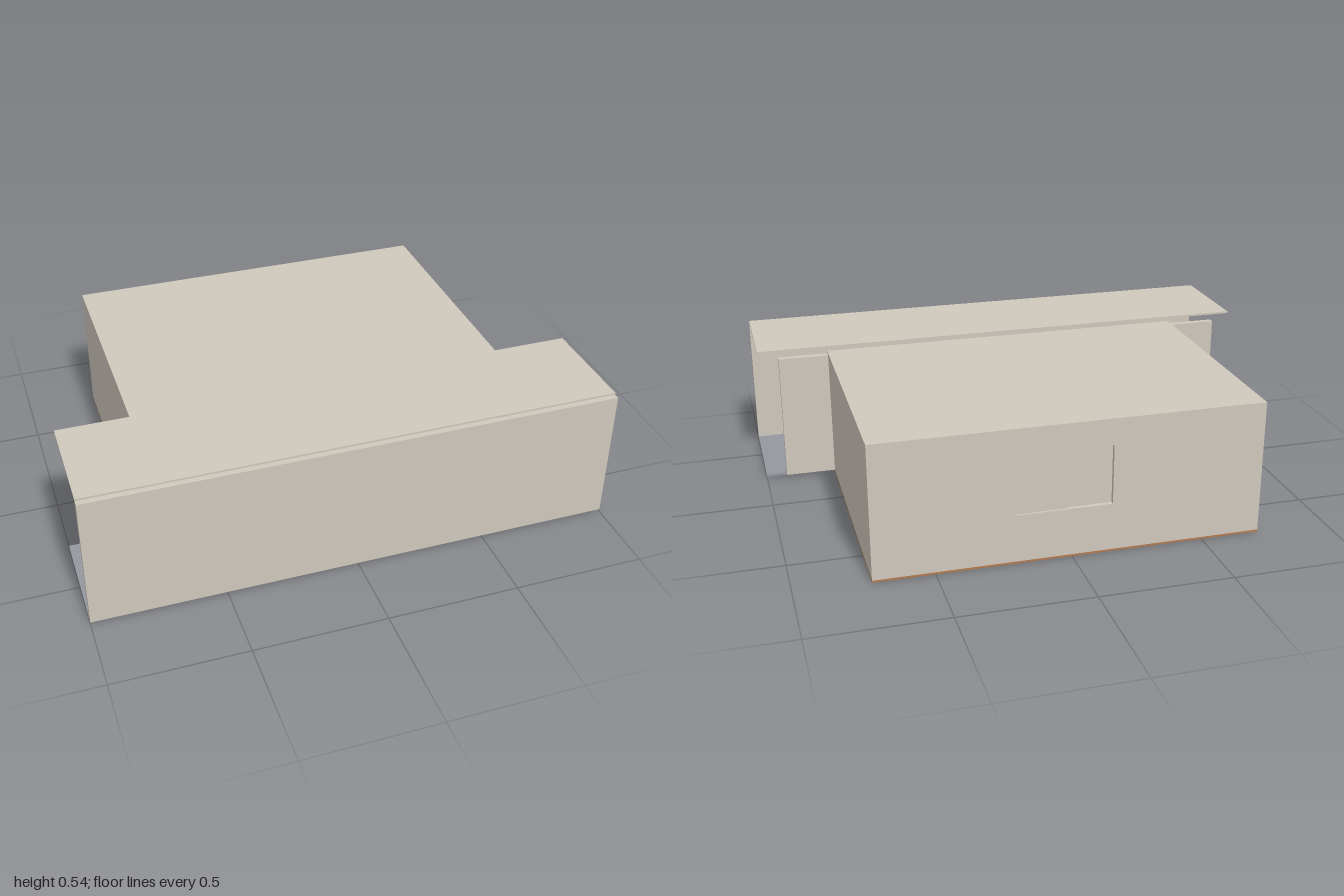
import * as THREE from 'three';

const paint = (name, color) => {
  const m = new THREE.MeshStandardMaterial({ color });
  m.name = name;
  return m;
};

export function createModel() {
  const wall = paint('wall plaster', 0xd0c8bc);
  const wood = paint('wood floor', 0xb47a50);
  const stone = paint('corridor floor grey', 0x94979f);
  const doorWood = paint('door wood', 0x96602f);
  const frameWood = paint('door frame wood', 0x7a4a26);
  const metal = paint('metal', 0x9a9a9a);

  const model = new THREE.Group();
  model.name = 'roomWithCorridor';

  // Box from its lower and upper limits on each axis
  const box = (parent, name, mat, [x0, x1], [y0, y1], [z0, z1]) => {
    const mesh = new THREE.Mesh(new THREE.BoxGeometry(x1 - x0, y1 - y0, z1 - z0), mat);
    mesh.position.set((x0 + x1) / 2, (y0 + y1) / 2, (z0 + z1) / 2);
    mesh.name = name;
    parent.add(mesh);
    return mesh;
  };

  // Corridor: floor, outer wall and raised ceiling, open at both ends
  const corridor = new THREE.Group();
  corridor.name = 'corridor';
  model.add(corridor);
  box(corridor, 'corridorFloor', stone, [-1, 1], [0, 0.01], [0.27, 0.68]);
  box(corridor, 'corridorOuterWall', wall, [-1, 1], [0.01, 0.532], [0.68, 0.702]);
  box(corridor, 'corridorCeiling', wall, [-1, 1], [0.532, 0.54], [0.27, 0.68]);

  // Room shell
  const room = new THREE.Group();
  room.name = 'room';
  model.add(room);
  const W = 0.725, back = -0.702, T = 0.025;
  box(room, 'roomFloor', wood, [-W, W], [0, 0.008], [back, 0.27]);
  box(room, 'roomCeiling', wall, [-W, W], [0.51, 0.52], [back, 0.27]);
  box(room, 'dividingWall', wall, [-0.92, 0.92], [0.01, 0.51], [0.245, 0.27]);
  for (const s of [-1, 1]) {
    const xs = s < 0 ? [-W, -W + T] : [W - T, W];
    box(room, 'sideWall', wall, xs, [0.008, 0.51], [back, 0.245]);
  }

  // Back wall with a window opening
  const win = { x0: -0.15, x1: 0.21, mid: 0.018, y0: 0.19, y1: 0.42 };
  const shape = new THREE.Shape();
  shape.moveTo(-W + T, 0.008).lineTo(W - T, 0.008).lineTo(W - T, 0.51).lineTo(-W + T, 0.51).closePath();
  const hole = new THREE.Path();
  hole.moveTo(win.x0, win.y0).lineTo(win.x0, win.y1).lineTo(win.x1, win.y1).lineTo(win.x1, win.y0).closePath();
  shape.holes.push(hole);
  const backWall = new THREE.Mesh(
    new THREE.ExtrudeGeometry(shape, { depth: T, bevelEnabled: false }), wall);
  backWall.position.z = back;
  backWall.name = 'backWall';
  room.add(backWall);

  // Two sliding panes, one set behind the other
  box(room, 'slidingPaneOuter', wall, [win.mid, win.x1], [win.y0, win.y1], [back + 0.008, back + 0.016]);
  box(room, 'slidingPaneInner', wall, [win.x0, win.mid + 0.01], [win.y0, win.y1], [back + 0.016, back + 0.024]);

  // Door on the corridor side of the dividing wall
  const door = new THREE.Group();
  door.name = 'door';
  model.add(door);
  box(door, 'doorLeaf', doorWood, [-0.1, 0.1], [0.01, 0.42], [0.27, 0.278]);
  for (const s of [-1, 1]) {
    const xs = s < 0 ? [-0.115, -0.1] : [0.1, 0.115];
    box(door, 'doorFrameSide', frameWood, xs, [0.01, 0.425], [0.27, 0.275]);
  }
  box(door, 'doorFrameTop', frameWood, [-0.115, 0.115], [0.425, 0.442], [0.27, 0.275]);
  box(door, 'doorCloser', metal, [-0.09, -0.02], [0.407, 0.418], [0.278, 0.288]);
  const knob = new THREE.Mesh(new THREE.CylinderGeometry(0.006, 0.006, 0.01, 16), metal);
  knob.rotation.x = Math.PI / 2;
  knob.position.set(0.082, 0.212, 0.283);
  knob.name = 'doorKnob';
  door.add(knob);

  return model;
}
